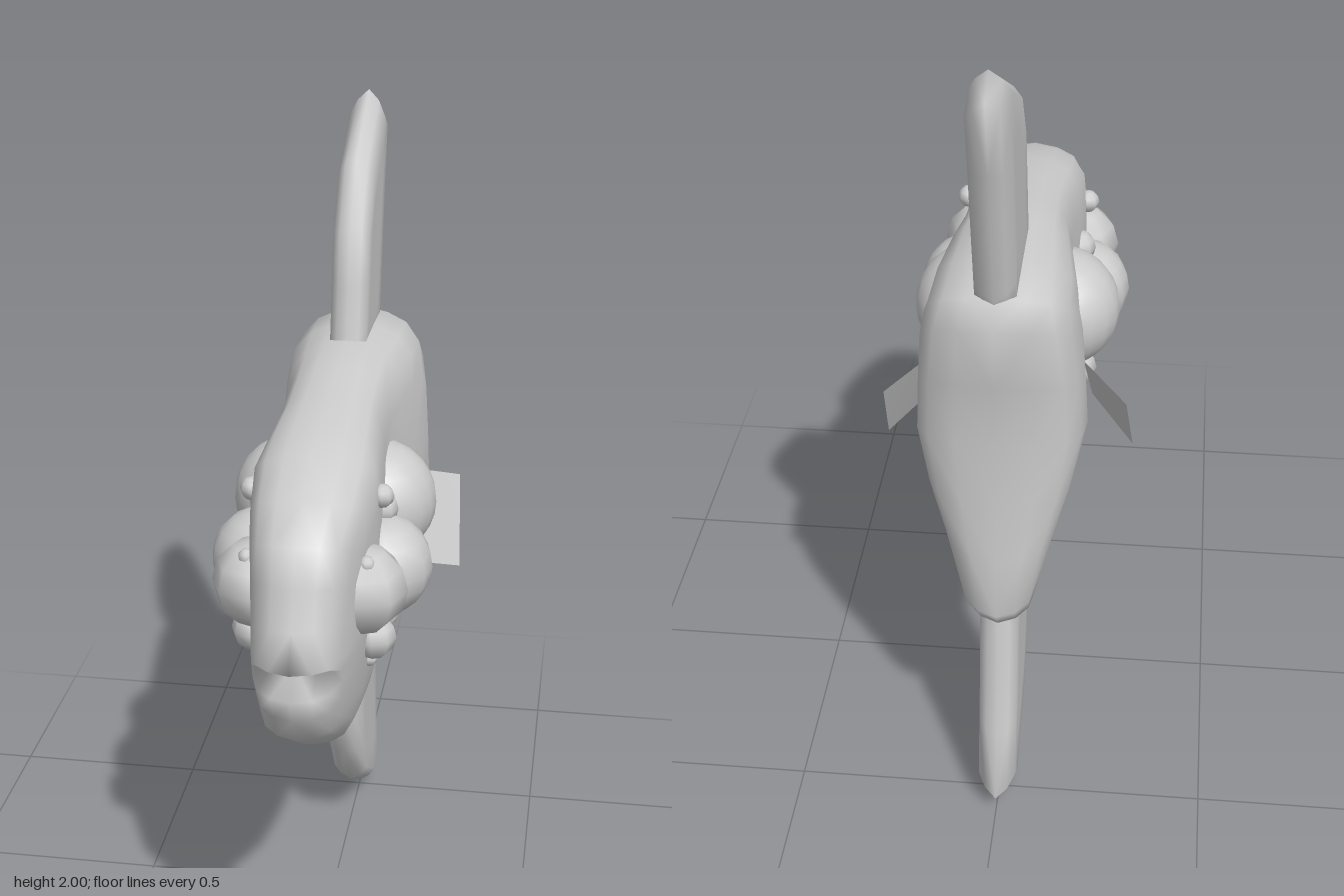
import * as THREE from 'three';

const material = new THREE.MeshStandardMaterial({ color: 0xcccccc });
const thinMaterial = new THREE.MeshStandardMaterial({ color: 0xcccccc, side: THREE.DoubleSide });

// Piecewise linear lookup in a list of [key, value] pairs
function lookup(table, key) {
  if (key <= table[0][0]) return table[0][1];
  for (let i = 1; i < table.length; i++) {
    const [k0, v0] = table[i - 1], [k1, v1] = table[i];
    if (key <= k1) return v0 + (v1 - v0) * (key - k0) / (k1 - k0);
  }
  return table[table.length - 1][1];
}

// Two-sided cushion: a [z, y] outline shrunk toward a centre in rings.
// rings: [scale, share of the half width]; inner: outline used inside the rim
function cushion(outline, inner, centre, rings, halfWidth) {
  const n = outline.length, pos = [], index = [];
  const addRing = (s, share, side) => {
    for (let i = 0; i < n; i++) {
      const k = THREE.MathUtils.clamp((1 - s) / 0.12, 0, 1);
      const pz = outline[i][0] + (inner[i][0] - outline[i][0]) * k;
      const py = outline[i][1] + (inner[i][1] - outline[i][1]) * k;
      const z = centre[0] + (pz - centre[0]) * s, y = centre[1] + (py - centre[1]) * s;
      pos.push(side * share * halfWidth(z, y), y, z);
    }
  };
  addRing(1, 0, 1);
  for (const side of [1, -1]) {
    let prev = 0;
    for (const [s, share] of rings) {
      const base = pos.length / 3;
      addRing(s, share, side);
      for (let i = 0; i < n; i++) {
        const j = (i + 1) % n;
        const a = prev + i, b = prev + j, c = base + j, d = base + i;
        if (side > 0) index.push(a, b, c, a, c, d);
        else index.push(a, c, b, a, d, c);
      }
      prev = base;
    }
    // Close the middle
    const mid = pos.length / 3;
    pos.push(side * halfWidth(...centre), centre[1], centre[0]);
    for (let i = 0; i < n; i++) {
      const j = (i + 1) % n;
      if (side > 0) index.push(prev + i, prev + j, mid);
      else index.push(prev + j, prev + i, mid);
    }
  }
  const geometry = new THREE.BufferGeometry();
  geometry.setAttribute('position', new THREE.Float32BufferAttribute(pos, 3));
  geometry.setIndex(index);
  geometry.computeVertexNormals();
  return geometry;
}

// Body half width by height, at four places from tail to nose
const widthSections = [
  [-0.35, [[0.54, 0.085], [0.7, 0.1], [0.85, 0.155], [1.05, 0.195], [1.25, 0.185], [1.4, 0.16], [1.46, 0.12]]],
  [0.0, [[0.54, 0.08], [0.8, 0.125], [1.0, 0.14], [1.3, 0.125], [1.46, 0.11]]],
  [0.3, [[0.58, 0.07], [0.8, 0.12], [1.0, 0.145], [1.3, 0.15], [1.46, 0.12]]],
  [0.62, [[0.75, 0.08], [0.95, 0.1], [1.3, 0.1]]],
];
const bodyHalfWidth = (z, y) => lookup(widthSections.map(([k, t]) => [k, lookup(t, y)]), z);

export function createModel() {
  const model = new THREE.Group();
  const add = (name, geometry, mat = material) => {
    const mesh = new THREE.Mesh(geometry, mat);
    mesh.name = name;
    model.add(mesh);
    return mesh;
  };

  // Deep flat body with a notched mouth; outline runs nose, belly, tail, back
  const outline = [
    [0.6, 0.995], [0.66, 0.93], [0.635, 0.87], [0.6, 0.8], [0.47, 0.715], [0.33, 0.63], [0.16, 0.58],
    [0, 0.565], [-0.16, 0.54], [-0.35, 0.54], [-0.51, 0.545], [-0.555, 0.6], [-0.545, 0.75],
    [-0.535, 0.9], [-0.53, 1.07], [-0.54, 1.23], [-0.57, 1.39], [-0.53, 1.45], [-0.37, 1.46],
    [-0.2, 1.465], [-0.06, 1.45], [0.08, 1.43], [0.22, 1.41], [0.35, 1.38], [0.47, 1.325],
    [0.58, 1.265], [0.61, 1.18], [0.64, 1.09], [0.675, 1.005],
  ];
  const inner = outline.map((p, i) => (i === 0 ? [0.67, 0.97] : p));
  const bodyRings = [[0.98, 0.48], [0.94, 0.8], [0.86, 0.95], [0.72, 1], [0.5, 1], [0.25, 1]];
  add('body', cushion(outline, inner, [0, 1], bodyRings, bodyHalfWidth));

  // Tall upper and lower fins with tapered rims, rooted inside the body
  const fin = (name, points, centre) =>
    add(name, cushion(points, points, centre, [[0.93, 0.6], [0.83, 1], [0.5, 1]], () => 0.045));
  fin('dorsalFin', [
    [-0.17, 1.33], [-0.2, 1.45], [-0.23, 1.59], [-0.26, 1.73], [-0.37, 1.88], [-0.6, 2], [-0.67, 1.96],
    [-0.62, 1.78], [-0.58, 1.61], [-0.54, 1.45], [-0.51, 1.33],
  ].reverse(), [-0.41, 1.65]);
  fin('analFin', [
    [-0.14, 0.66], [-0.16, 0.54], [-0.175, 0.41], [-0.195, 0.29], [-0.3, 0.14], [-0.52, 0], [-0.595, 0.05],
    [-0.56, 0.23], [-0.53, 0.4], [-0.51, 0.54], [-0.49, 0.66],
  ], [-0.37, 0.34]);

  // Lumps on the flanks: [x, y, z, radius, segments around]
  const lumps = [
    [0.1, 1.13, -0.015, 0.148, 20], [0.14, 1.06, 0.205, 0.122, 14], [0.12, 1.085, 0.388, 0.105, 8],
    [0.14, 0.935, 0.33, 0.054, 8], [0.145, 0.935, 0.1, 0.042, 8], [0.145, 0.96, -0.015, 0.05, 8],
    [0.135, 1.19, 0.175, 0.042, 8], [0.15, 1.265, 0.275, 0.028, 8], [0.135, 1.165, 0.43, 0.02, 8],
    [0.125, 0.852, 0.285, 0.02, 8], [0.13, 0.817, -0.005, 0.029, 8], [0.15, 1.0, 0.075, 0.03, 8],
  ];
  for (const side of [1, -1]) {
    const label = side > 0 ? 'left' : 'right';
    for (const [x, y, z, r, segments] of lumps) {
      const lump = add(label + 'Lump', new THREE.SphereGeometry(r, segments, Math.round(segments * 0.7)));
      lump.position.set(side * x, y, z);
    }

    // Small flat side fin
    const plate = new THREE.BufferGeometry();
    plate.setAttribute('position', new THREE.Float32BufferAttribute([
      side * 0.175, 1.12, -0.24, side * 0.28, 1.07, -0.337,
      side * 0.295, 0.87, -0.207, side * 0.19, 0.93, -0.09,
    ], 3));
    plate.setIndex(side > 0 ? [0, 2, 1, 0, 3, 2] : [0, 1, 2, 0, 2, 3]);
    plate.computeVertexNormals();
    add(label + 'PectoralFin', plate, thinMaterial);
  }
  return model;
}
